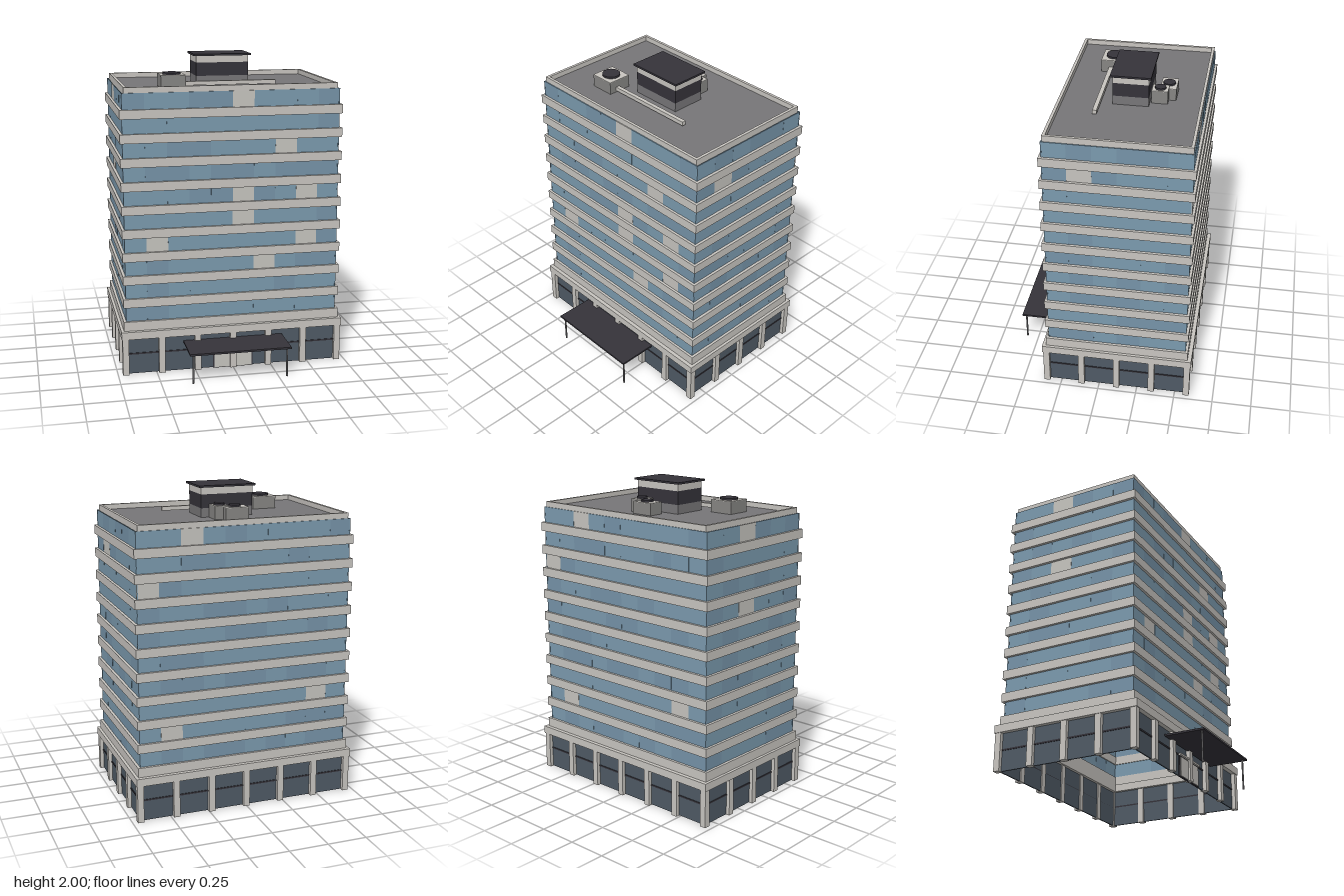
import * as THREE from 'three';

const CZ = -0.115; // centre of the tower in z

const mat = (name, color) => {
  const m = new THREE.MeshStandardMaterial({ color });
  m.name = name;
  return m;
};

export function createModel() {
  const model = new THREE.Group();
  model.name = 'officeTower';
  const M = {
    concrete: mat('concrete', 0xc8c5c0),
    glass: mat('blueGlass', 0x7b9aae),
    glassDeep: mat('deepBlueGlass', 0x7693a8),
    blind: mat('blindPanel', 0xc6c4bf),
    lobby: mat('lobbyGlass', 0x4f5a65),
    dark: mat('darkMetal', 0x35333a),
    roof: mat('roofGrey', 0x777678),
    unit: mat('unitGrey', 0x868583),
  };

  const group = (name, parent = model) => {
    const g = new THREE.Group();
    g.name = name;
    parent.add(g);
    return g;
  };

  // Box given by its limits on each axis
  const box = (parent, name, material, x0, x1, y0, y1, z0, z1) => {
    const mesh = new THREE.Mesh(new THREE.BoxGeometry(x1 - x0, y1 - y0, z1 - z0), material);
    mesh.position.set((x0 + x1) / 2, (y0 + y1) / 2, (z0 + z1) / 2);
    mesh.name = name;
    parent.add(mesh);
    return mesh;
  };

  // Hollow rectangular ring around the tower axis, t thick
  const ring = (name, material, hx, hz, y0, y1, t, parent = model) => {
    const g = group(name, parent);
    for (const s of [-1, 1]) {
      const z = CZ + s * (hz - t / 2), x = s * (hx - t / 2);
      box(g, name + 'Long', material, -hx, hx, y0, y1, z - t / 2, z + t / 2);
      box(g, name + 'Short', material, x - t / 2, x + t / 2, y0, y1, CZ - hz + t, CZ + hz - t);
    }
    return g;
  };

  let seed = 7;
  const rand = () => (seed = (seed * 16807) % 2147483647) / 2147483647;

  // Tower walls: each side is a grid of panes, columns counted left to right from outside
  const HX = 0.69, HZ = 0.445, ROWS = 10, PITCH = 0.15;
  const walls = [
    { name: 'frontWall', turn: 0, cols: 10, half: HX, out: HZ,
      blinds: ['9,5', '7,7', '5,5', '5,8', '4,5', '3,1', '3,8', '2,6'] },
    { name: 'rightSideWall', turn: Math.PI / 2, cols: 6, half: HZ, out: HX, blinds: ['8,1'] },
    { name: 'backWall', turn: Math.PI, cols: 10, half: HX, out: HZ,
      blinds: ['9,2', '7,0', '1,1', '2,8'] },
    { name: 'leftSideWall', turn: -Math.PI / 2, cols: 6, half: HZ, out: HX, blinds: ['9,2', '6,2'] },
  ];
  for (const w of walls) {
    const g = group(w.name);
    g.position.z = CZ;
    g.rotation.y = w.turn;
    const pw = (2 * w.half) / w.cols;
    for (let r = 0; r < ROWS; r++) {
      for (let c = 0; c < w.cols; c++) {
        const blind = w.blinds.includes(`${r},${c}`);
        const m = blind ? M.blind : rand() < 0.3 ? M.glassDeep : M.glass;
        const x = -w.half + c * pw, y = 0.34 + r * PITCH, z = w.out - rand() * 0.002;
        box(g, blind ? 'blindPane' : 'windowPane', m, x, x + pw, y, y + 0.11, z - 0.006, z);
      }
    }
  }

  // Concrete floor bands
  for (let r = 0; r < ROWS; r++) {
    const y = 0.29 + r * PITCH;
    ring('floorBand', M.concrete, 0.706, 0.46, r ? y + 0.003 : y, y + 0.06, 0.03);
  }

  // Podium: lobby glazing, mid rail, pillars and heavy top band
  ring('lobbyGlazing', M.lobby, 0.695, 0.455, 0.002, 0.24, 0.008);
  ring('lobbyRail', M.dark, 0.699, 0.459, 0.13, 0.14, 0.012);
  ring('podiumBand', M.concrete, 0.724, 0.485, 0.24, 0.29, 0.06);
  const pillars = group('podiumPillars');
  const pillar = (x, z) =>
    box(pillars, 'pillar', M.concrete, x - 0.02, x + 0.02, 0, 0.24, z - 0.02, z + 0.02);
  for (const s of [-1, 1]) {
    for (let i = 0; i <= 6; i++) pillar(-0.699 + i * 0.233, CZ + s * 0.46);
    for (let i = 1; i < 4; i++) pillar(s * 0.699, CZ - 0.46 + i * 0.23);
  }

  // Entrance doors with dark frame and header
  const entrance = group('entrance');
  box(entrance, 'doorFrame', M.dark, -0.132, 0.132, 0, 0.13, 0.335, 0.348);
  box(entrance, 'doors', M.blind, -0.123, 0.123, 0.004, 0.124, 0.345, 0.353);
  box(entrance, 'doorHeader', M.concrete, -0.137, 0.137, 0.13, 0.142, 0.335, 0.36);

  // Canopy on two thin posts
  const canopy = group('canopy');
  box(canopy, 'canopySlab', M.dark, -0.326, 0.326, 0.19, 0.202, 0.345, 0.6);
  for (const s of [-1, 1]) {
    const post = new THREE.Mesh(new THREE.CylinderGeometry(0.006, 0.006, 0.19, 8), M.roof);
    post.position.set(s * 0.303, 0.095, 0.577);
    post.name = 'canopyPost';
    canopy.add(post);
  }

  // Roof deck and parapet
  box(model, 'roofDeck', M.roof, -0.66, 0.66, 1.785, 1.803, CZ - 0.425, CZ + 0.425);
  ring('parapet', M.concrete, 0.676, 0.438, 1.785, 1.835, 0.018);

  // Stair house in layers, with overhanging lid
  const house = group('stairHouse');
  const layer = (name, m, y0, y1) => box(house, name, m, -0.17, 0.17, y0, y1, -0.226, -0.004);
  layer('houseBase', M.roof, 1.8, 1.86);
  layer('houseLouvre', M.dark, 1.86, 1.945);
  layer('houseTop', M.concrete, 1.945, 1.988);
  box(house, 'houseLid', M.dark, -0.186, 0.186, 1.988, 2, -0.24, 0.01);

  // Cooling units with round fans
  const cooler = (x0, x1, z0, z1, top, r) => {
    const g = group('coolingUnit');
    box(g, 'unitBody', M.unit, x0, x1, 1.8, top - 0.004, z0, z1);
    box(g, 'unitTop', M.concrete, x0, x1, top - 0.004, top, z0, z1);
    const fan = new THREE.Mesh(new THREE.CylinderGeometry(r, r, 0.012, 14), M.dark);
    fan.position.set((x0 + x1) / 2, top + 0.006, (z0 + z1) / 2);
    fan.name = 'unitFan';
    g.add(fan);
  };
  cooler(-0.42, -0.262, -0.017, 0.14, 1.883, 0.057);
  cooler(-0.085, 0.065, -0.38, -0.28, 1.879, 0.038);
  cooler(0.03, 0.12, -0.335, -0.235, 1.886, 0.034);

  // Duct running across the roof
  box(model, 'roofDuct', M.concrete, -0.262, 0.33, 1.812, 1.837, 0.066, 0.092);
  return model;
}
